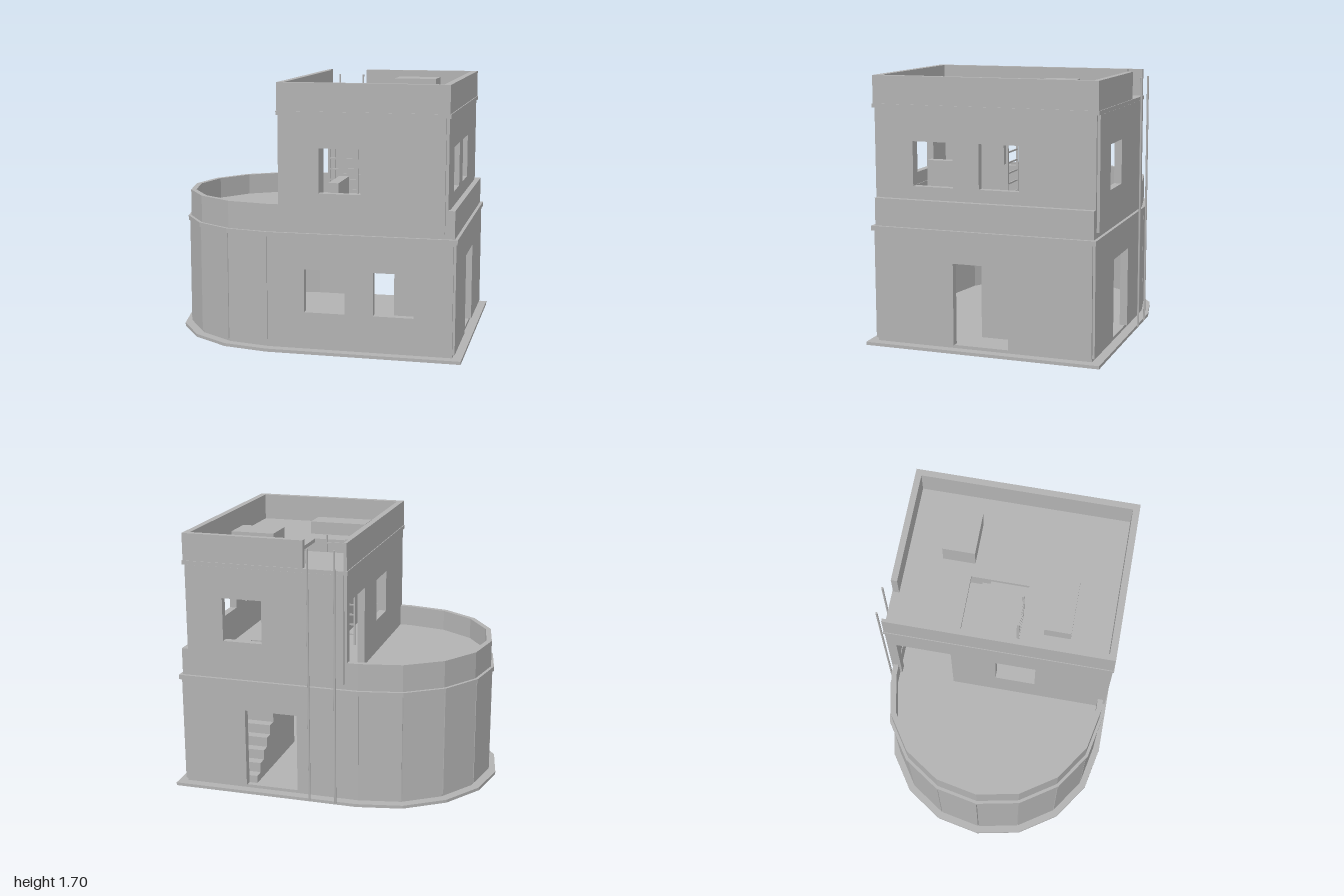
import * as THREE from 'three';

const CX = -0.235, CZ = 0.005; // centre of the rounded end

export function createModel() {
  const house = new THREE.Group();
  house.name = 'house';
  const plaster = new THREE.MeshStandardMaterial({ color: 0xb2b2b2 });
  plaster.name = 'plaster grey';

  const add = (name, geo, parent = house) => {
    const m = new THREE.Mesh(geo, plaster);
    m.name = name;
    parent.add(m);
    return m;
  };
  const box = (name, x0, x1, y0, y1, z0, z1, parent) => {
    const g = new THREE.BoxGeometry(x1 - x0, y1 - y0, z1 - z0);
    g.translate((x0 + x1) / 2, (y0 + y1) / 2, (z0 + z1) / 2);
    return add(name, g, parent);
  };

  // Floor outlines as [x, z] lists
  const dShape = (r) => {
    const p = [];
    for (let i = 0; i <= 8; i++) {
      const a = (i * Math.PI) / 8;
      p.push([CX - r * Math.sin(a), CZ - r * Math.cos(a)]);
    }
    p.push([r - CX, CZ + r], [r - CX, CZ - r]);
    return p;
  };
  const rect = (x0, x1, z0, z1) => [[x0, z1], [x1, z1], [x1, z0], [x0, z0]];

  // Horizontal slab with optional holes
  const slab = (name, outline, y0, y1, ...holes) => {
    const pts = (l) => l.map(([x, z]) => new THREE.Vector2(x, -z));
    const s = new THREE.Shape(pts(outline));
    holes.forEach((h) => s.holes.push(new THREE.Path(pts(h))));
    const g = new THREE.ExtrudeGeometry(s, { depth: y1 - y0, bevelEnabled: false });
    g.rotateX(-Math.PI / 2);
    g.translate(0, y0, 0);
    return add(name, g);
  };

  // Wall panel from a to b; openings are [from, to, bottom, top] in world units
  const wall = (name, a, b, y0, y1, out, thick, openings = []) => {
    const dx = b[0] - a[0], dz = b[1] - a[1], len = Math.hypot(dx, dz);
    const k = Math.abs(dx) > Math.abs(dz) ? 0 : 1;
    const dir = Math.sign(k ? dz : dx);
    const local = openings.map(([p, q, lo, hi]) => {
      const s = [(p - a[k]) * dir, (q - a[k]) * dir].sort((m, n) => m - n);
      return [s[0], s[1], lo, hi];
    });
    const s = new THREE.Shape();
    s.moveTo(0, y0);
    for (const [p, q, lo, hi] of local) {
      if (lo <= y0) { // doorway
        s.lineTo(p, y0); s.lineTo(p, hi); s.lineTo(q, hi); s.lineTo(q, y0);
      } else { // window
        const h = new THREE.Path();
        h.moveTo(p, lo); h.lineTo(p, hi); h.lineTo(q, hi); h.lineTo(q, lo); h.closePath();
        s.holes.push(h);
      }
    }
    s.lineTo(len, y0); s.lineTo(len, y1); s.lineTo(0, y1); s.closePath();
    const g = new THREE.ExtrudeGeometry(s, { depth: thick + out, bevelEnabled: false });
    g.translate(0, 0, -thick);
    g.applyMatrix4(new THREE.Matrix4().makeBasis(
      new THREE.Vector3(dx / len, 0, dz / len),
      new THREE.Vector3(0, 1, 0),
      new THREE.Vector3(-dz / len, 0, dx / len)
    ).setPosition(a[0], 0, a[1]));
    add(name, g);
  };
  const walls = (name, outline, y0, y1, out, thick, openings) =>
    outline.forEach((a, i) =>
      wall(name, a, outline[(i + 1) % outline.length], y0, y1, out, thick, openings[i]));

  // Base and ground floor
  slab('basePlate', dShape(0.765), 0, 0.02);
  slab('groundFloor', dShape(0.705), 0.02, 0.04);
  walls('lowerWall', dShape(0.705), 0.04, 0.735, 0.015, 0.035, {
    8: [[0.005, 0.265, 0.26, 0.535], [0.445, 0.7, 0.26, 0.535]],
    9: [[-0.17, 0.19, 0.04, 0.56]],
    10: [[0.17, 0.52, 0.04, 0.56]],
  });

  // Terrace slab, ledge and parapet
  const stairwell = rect(0.465, 0.74, -0.45, 0.02);
  slab('lowerLedge', dShape(0.73), 0.735, 0.765, stairwell);
  slab('terraceFloor', dShape(0.69), 0.765, 0.8, stairwell);
  slab('terraceParapet', dShape(0.71), 0.765, 0.94, dShape(0.675));

  // Inner stairs, climbing towards the front
  const stairs = new THREE.Group();
  stairs.name = 'stairs';
  house.add(stairs);
  for (let i = 0; i < 11; i++) {
    const z = -0.665 + i * 0.0655;
    const z1 = i === 10 ? 0.09 : z + 0.0655;
    box('step', 0.465, 0.73, 0.04, 0.09 + i * 0.0645, z, z1, stairs);
  }

  // Upper floor, walls in order front, right, back, left
  walls('upperWall', rect(-0.145, 0.885, -0.705, 0.715), 0.8, 1.5, 0.018, 0.03, {
    0: [[0.1, 0.365, 1.02, 1.3]],
    1: [[0.205, 0.47, 1.02, 1.3], [-0.225, 0.035, 1.02, 1.3]],
    2: [[0.39, 0.65, 1.02, 1.3]],
    3: [[-0.655, -0.3, 0.8, 1.32], [-0.01, 0.25, 1.02, 1.3]],
  });
  box('innerBlock', 0.15, 0.215, 0.8, 1.08, 0.37, 0.68);

  // Roof with hatch and ledge
  slab('roof', rect(-0.17, 0.914, -0.722, 0.738), 1.5, 1.525, rect(-0.07, 0.305, -0.25, 0.125));

  // Roof parapet, open at the back corner
  box('parapetFront', -0.165, 0.908, 1.525, 1.7, 0.69, 0.733);
  box('parapetRight', 0.866, 0.908, 1.525, 1.7, -0.717, 0.69);
  box('parapetBack', 0.115, 0.866, 1.525, 1.7, -0.717, -0.677);
  box('parapetLeft', -0.165, -0.125, 1.525, 1.7, -0.62, 0.69);
  box('parapetLeftEnd', -0.165, -0.145, 1.525, 1.7, -0.717, -0.62);

  // Roof blocks
  box('tallRoofBlock', 0.397, 0.68, 1.525, 1.67, -0.45, -0.24);
  box('lowRoofBlock', -0.005, 0.38, 1.525, 1.61, 0.27, 0.44);

  // Hatch ladder
  const ladder = new THREE.Group();
  ladder.name = 'hatchLadder';
  house.add(ladder);
  for (const x of [0.015, 0.208]) box('ladderRail', x, x + 0.012, 0.8, 1.56, 0.095, 0.11, ladder);
  for (let i = 0; i < 10; i++) {
    const y = 0.87 + i * 0.07;
    box('ladderRung', 0.02, 0.215, y, y + 0.01, 0.098, 0.107, ladder);
  }

  // Tall poles at the back
  for (const x of [-0.1, 0.072]) {
    const g = new THREE.CylinderGeometry(0.007, 0.007, 1.65, 8);
    g.translate(x, 0.835, -0.765);
    add('backPole', g);
  }
  return house;
}
